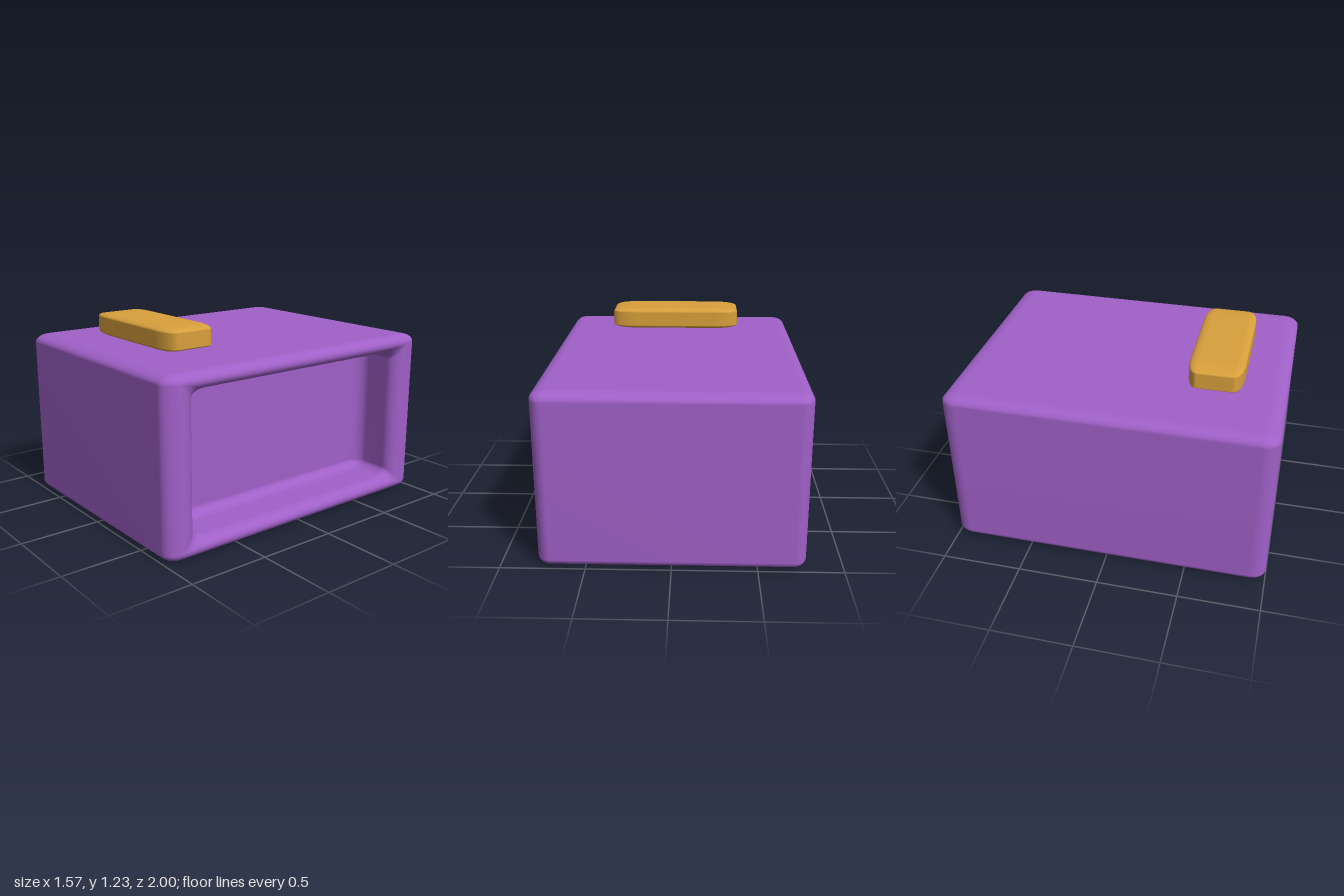
import * as THREE from 'three';
import { mergeVertices } from 'three/addons/utils/BufferGeometryUtils.js';
import { RoundedBoxGeometry } from 'three/addons/geometries/RoundedBoxGeometry.js';

// Skins rounded-square rings [x, half size, corner radius] along the x axis
function loftRings(rings, cornerSteps) {
  const positions = [], index = [];
  const n = 4 * (cornerSteps + 1);
  for (const [x, half, r] of rings) {
    for (let q = 0; q < 4; q++) {
      const mid = (q + 0.5) * Math.PI / 2;
      for (let s = 0; s <= cornerSteps; s++) {
        const a = (q + s / cornerSteps) * Math.PI / 2;
        positions.push(
          x,
          Math.sign(Math.sin(mid)) * (half - r) + r * Math.sin(a),
          Math.sign(Math.cos(mid)) * (half - r) + r * Math.cos(a));
      }
    }
  }
  for (let i = 0; i < rings.length - 1; i++) {
    for (let j = 0; j < n; j++) {
      const a = i * n + j, b = i * n + (j + 1) % n;
      index.push(a, a + n, b, b, a + n, b + n);
    }
  }
  const geometry = new THREE.BufferGeometry();
  geometry.setAttribute('position', new THREE.Float32BufferAttribute(positions, 3));
  geometry.setIndex(index);
  return mergeVertices(geometry, 1e-4);
}

export function createModel() {
  const model = new THREE.Group();
  const R = 0.1, STEPS = 6, FLOOR = 0.6;

  // Ring list in a cube of half size 1
  const rings = [[-1, 0, 0]];
  const arc = (fn) => {
    for (let i = 0; i <= STEPS; i++) {
      const t = i / STEPS * Math.PI / 2;
      rings.push(fn(R * Math.sin(t), R * Math.cos(t)));
    }
  };
  arc((s, c) => [-1 + R - c, 0.9 + s, s]);          // closed side edge
  arc((s, c) => [1 - R + s, 0.9 + c, c]);           // open side outer edge
  arc((s, c) => [1 - R + c, 0.9 - s, s]);           // rounded lip of the recess
  arc((s, c) => [FLOOR + R - s, 0.7 + c, c]);       // fillet at the recess floor
  rings.push([FLOOR, 0, 0]);

  // Body with its recess on the +x side
  const bodyGeometry = loftRings(rings, STEPS);
  bodyGeometry.scale(0.785, 0.5325, 1);
  bodyGeometry.computeVertexNormals();
  const body = new THREE.Mesh(bodyGeometry, new THREE.MeshStandardMaterial({ color: 0xa060c8 }));
  body.name = 'body';
  body.position.y = 0.5325;
  model.add(body);

  // Bar floating above the top
  const barGeometry = new RoundedBoxGeometry(2, 2, 2, 3, 0.36);
  barGeometry.scale(0.432, 0.07, 0.167);
  const bar = new THREE.Mesh(barGeometry, new THREE.MeshStandardMaterial({ color: 0xd9a03c }));
  bar.name = 'topBar';
  bar.position.set(0.018, 1.16, 0.572);
  model.add(bar);

  return model;
}
